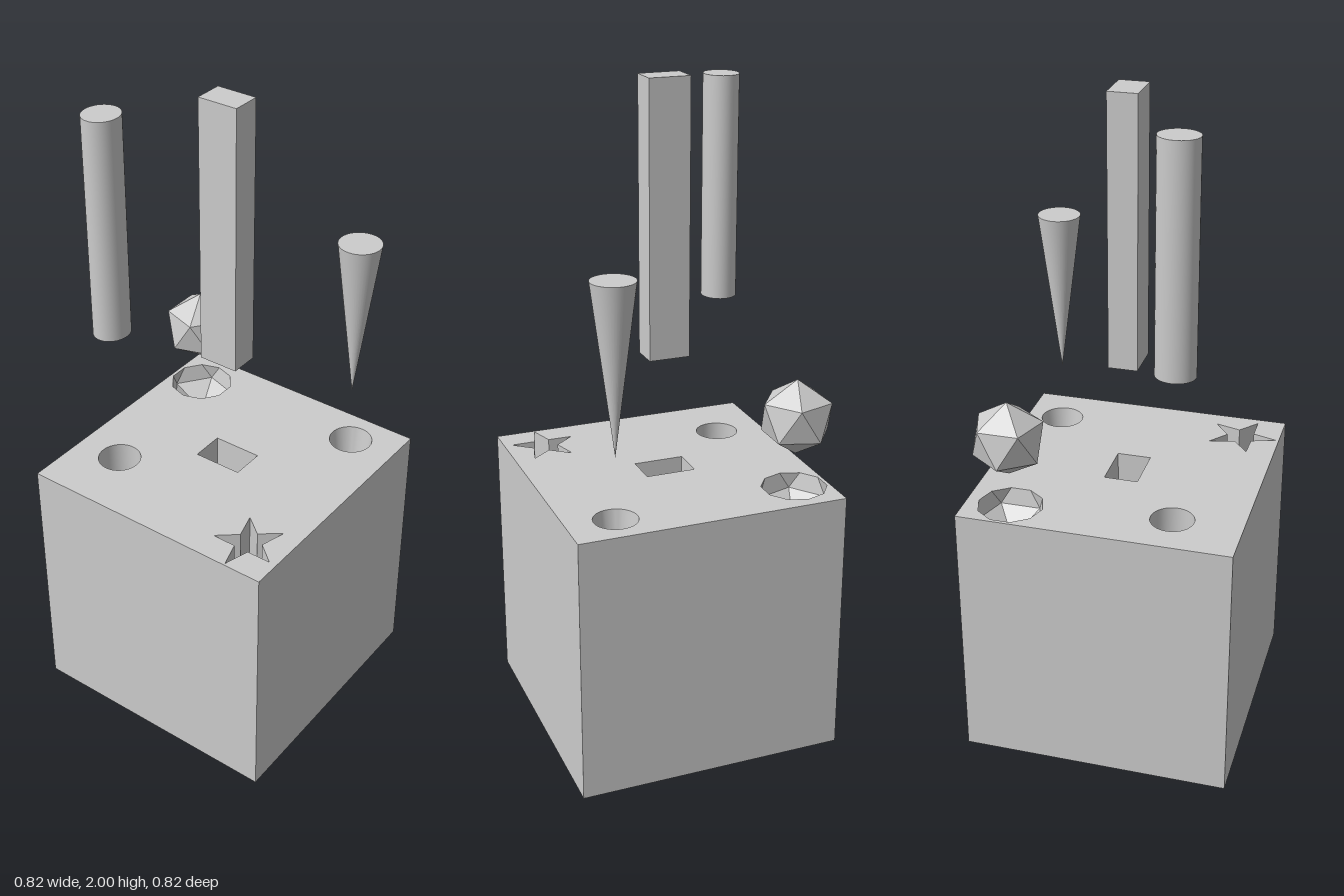
import * as THREE from 'three';
import { toCreasedNormals } from 'three/addons/utils/BufferGeometryUtils.js';

const HALF = 0.409, TOP = 0.825, TAU = Math.PI * 2;
const material = (options = {}) => new THREE.MeshStandardMaterial({ color: 0xcccccc, ...options });

// Outline of points around (cx, cz) as [x, z]; radius may vary per point
function outline(cx, cz, rx, rz, count, start = 0, scale = () => 1) {
  return Array.from({ length: count }, (_, i) => {
    const a = start + (i / count) * TAU, s = scale(i);
    return [cx + Math.cos(a) * rx * s, cz + Math.sin(a) * rz * s];
  });
}

// Triangle list to a surface with sharp edges kept
function surface(points) {
  const geometry = new THREE.BufferGeometry();
  geometry.setAttribute('position', new THREE.Float32BufferAttribute(points.flat(), 3));
  return toCreasedNormals(geometry, 0.6);
}

// Pocket sunk from the top face: walls down to a floor, taper 0 ends in a tip
function pocket([cx, cz], points, depth, taper = 1) {
  const y = TOP - depth, tris = [];
  points.forEach(([ax, az], i) => {
    const [bx, bz] = points[(i + 1) % points.length];
    const low = (x, z) => [cx + (x - cx) * taper, y, cz + (z - cz) * taper];
    const a = [ax, TOP, az], b = [bx, TOP, bz], c = low(ax, az), d = low(bx, bz);
    tris.push(a, b, c);
    if (taper > 0) tris.push(b, d, c, c, d, [cx, y, cz]);
  });
  return surface(tris);
}

// Lower half of an icosahedron, open at its ten-sided middle
function facetedPocket([cx, cz], rim, r) {
  const low = outline(cx, cz, r * 0.894, r * 0.894, 5, TAU / 10).map(([x, z]) => [x, TOP - r * 0.447, z]);
  const top = rim.map(([x, z]) => [x, TOP, z]);
  const tip = [cx, TOP - r, cz], tris = [];
  for (let k = 0; k < 5; k++) {
    const l = low[k], next = low[(k + 1) % 5];
    const a = top[2 * k], b = top[2 * k + 1], c = top[(2 * k + 2) % 10];
    tris.push(a, b, l, b, c, l, c, next, l, l, next, tip);
  }
  return surface(tris);
}

export function createModel() {
  const group = new THREE.Group();
  const add = (name, geometry, x = 0, y = 0, z = 0, options) => {
    const mesh = new THREE.Mesh(geometry, material(options));
    mesh.name = name;
    mesh.position.set(x, y, z);
    group.add(mesh);
    return mesh;
  };

  // Pocket centres and outlines
  const ballAt = [-0.305, -0.275], coneAt = [0.26, -0.296], rodAt = [-0.26, 0.2];
  const barAt = [-0.001, -0.005], starAt = [0.288, 0.289], socketR = 0.1155;
  const ballRim = outline(...ballAt, socketR * 0.85, socketR * 0.85, 10, TAU / 20);
  const coneRim = outline(...coneAt, 0.066, 0.066, 40);
  const rodRim = outline(...rodAt, 0.065, 0.065, 40);
  const barRim = [[-0.078, -0.056], [0.075, -0.056], [0.075, 0.047], [-0.078, 0.047]];
  const starRim = outline(...starAt, 0.102, 0.113, 10, TAU / 4, i => (i % 2 ? 0.39 : 1));

  // Block: sides and bottom, without the top face
  const sides = new THREE.BoxGeometry(HALF * 2, TOP, HALF * 2);
  sides.setIndex([...sides.index.array].filter((_, i) => i < 12 || i >= 18));
  sides.clearGroups();
  add('blockSides', sides, 0, TOP / 2, 0);

  // Top face with the five openings
  const toPath = points => points.map(([x, z]) => new THREE.Vector2(x, -z));
  const face = new THREE.Shape(toPath([[-HALF, HALF], [HALF, HALF], [HALF, -HALF], [-HALF, -HALF]]));
  for (const rim of [ballRim, coneRim, rodRim, barRim, starRim]) face.holes.push(new THREE.Path(toPath(rim)));
  add('blockTop', new THREE.ShapeGeometry(face).rotateX(-Math.PI / 2), 0, TOP, 0);

  // Pockets
  const open = { side: THREE.DoubleSide };
  add('facetedPocket', facetedPocket(ballAt, ballRim, socketR), 0, 0, 0, open);
  add('conePocket', pocket(coneAt, coneRim, 0.5, 0), 0, 0, 0, open);
  add('roundPocket', pocket(rodAt, rodRim, 0.6), 0, 0, 0, open);
  add('squarePocket', pocket(barAt, barRim, 0.7), 0, 0, 0, open);
  add('starPocket', pocket(starAt, starRim, 0.3), 0, 0, 0, open);

  // Pegs hovering over their pockets
  const rod = new THREE.CylinderGeometry(1, 1, 0.675, 40).scale(0.053, 1, 0.059);
  add('roundPeg', rod, -0.26, 1.6225, 0.203);
  add('squarePeg', new THREE.BoxGeometry(0.124, 0.815, 0.088), -0.001, 1.5925, -0.002);
  add('conePeg', new THREE.ConeGeometry(0.065, 0.51, 40).rotateX(Math.PI), 0.257, 1.265, -0.291);

  // Icosahedron standing on a corner
  const ball = new THREE.IcosahedronGeometry(0.115, 0).rotateZ(-Math.atan(2 / (1 + Math.sqrt(5))));
  add('facetedBall', ball, ballAt[0], 1.045, ballAt[1], { flatShading: true });

  return group;
}
